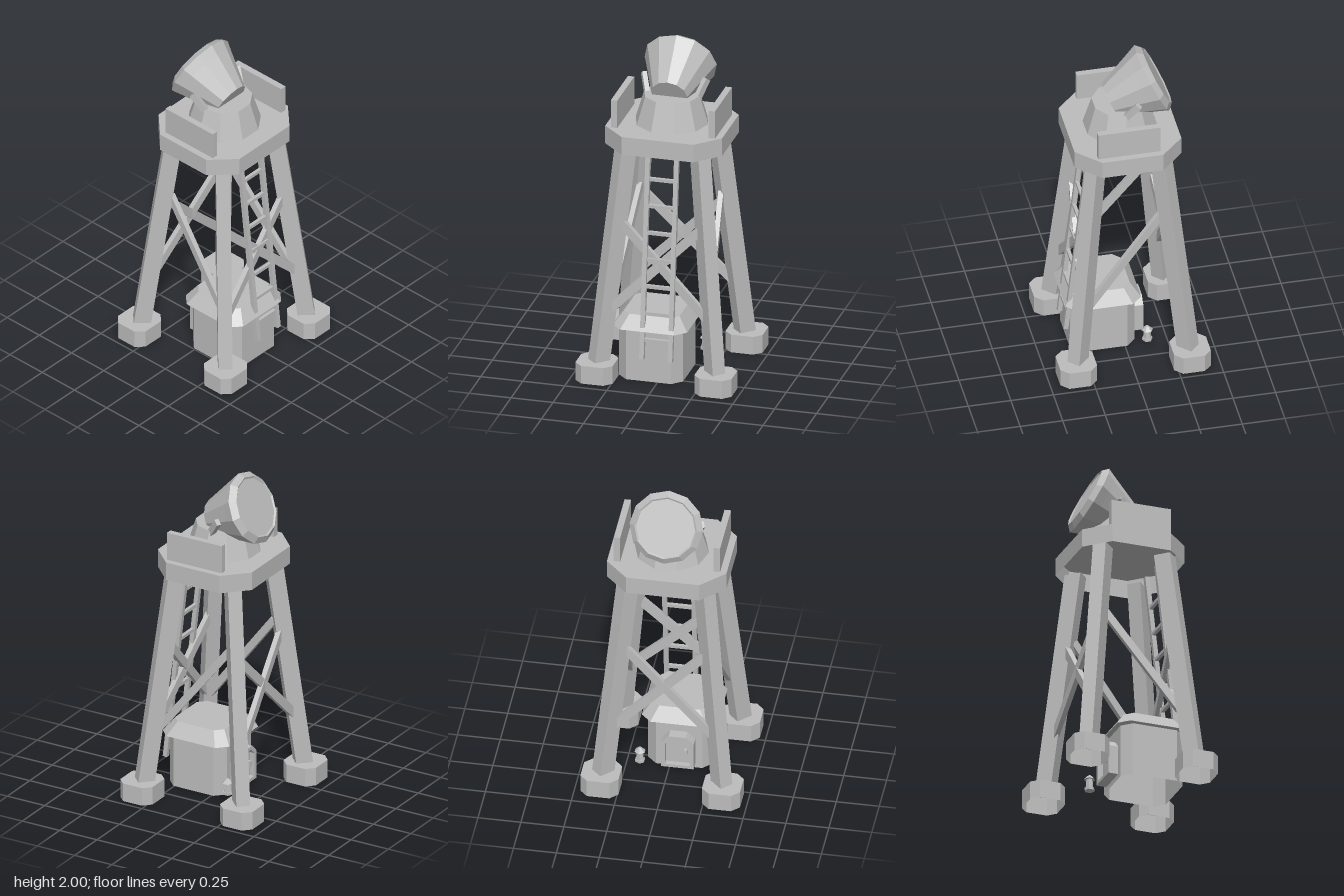
import * as THREE from 'three';

const metal = new THREE.MeshStandardMaterial({ color: 0xbcbcbc, flatShading: true, side: THREE.DoubleSide });
metal.name = 'plainGrey';

const v = (x, y, z) => new THREE.Vector3(x, y, z);

function add(parent, name, geometry, x = 0, y = 0, z = 0) {
  const mesh = new THREE.Mesh(geometry, metal);
  mesh.name = name;
  mesh.position.set(x, y, z);
  parent.add(mesh);
  return mesh;
}

// Rectangle with cut corners, lying flat at height y
function chamferRing(w, d, c, y) {
  return [[-w + c, d], [w - c, d], [w, d - c], [w, -d + c], [w - c, -d], [-w + c, -d], [-w, -d + c], [-w, d - c]]
    .map(([x, z]) => v(x, y, z));
}

// Skin between stacked rings, closed on top and open below
function loft(rings) {
  const pos = [];
  const tri = (...pts) => pts.forEach((p) => pos.push(p.x, p.y, p.z));
  const n = rings[0].length;
  for (let k = 0; k + 1 < rings.length; k++) {
    for (let i = 0; i < n; i++) {
      const j = (i + 1) % n;
      tri(rings[k][i], rings[k][j], rings[k + 1][j]);
      tri(rings[k][i], rings[k + 1][j], rings[k + 1][i]);
    }
  }
  const top = rings[rings.length - 1];
  for (let i = 1; i + 1 < n; i++) tri(top[0], top[i], top[i + 1]);
  const g = new THREE.BufferGeometry();
  g.setAttribute('position', new THREE.Float32BufferAttribute(pos, 3));
  g.computeVertexNormals();
  return g;
}

// Straight bar between two points
function beam(parent, name, a, b, width, height) {
  const mesh = add(parent, name, new THREE.BoxGeometry(width, height, a.distanceTo(b)));
  mesh.position.copy(a).add(b).multiplyScalar(0.5);
  mesh.lookAt(b);
  return mesh;
}

// Horizontal section of a leg, turned to face the tower's corner
function legRing(sx, sz, x, y, z) {
  const k = Math.SQRT1_2;
  const at = (r, t) => v(sx * x + k * (sx * r + sz * t), y, sz * z + k * (sz * r - sx * t));
  return [at(0.05, -0.041), at(0.05, 0.041), at(-0.05, 0.041), at(-0.05, -0.041)];
}

function buildFrame(root) {
  const frame = new THREE.Group();
  frame.name = 'towerFrame';
  root.add(frame);
  for (const sx of [-1, 1]) {
    for (const sz of [-1, 1]) {
      add(frame, 'footing', loft([chamferRing(0.111, 0.108, 0.045, 0), chamferRing(0.111, 0.108, 0.045, 0.11)]),
        sx * 0.354, 0, sz * 0.334);
      add(frame, 'leg', loft([legRing(sx, sz, 0.345, 0.1, 0.323), legRing(sx, sz, 0.22, 1.42, 0.19)]));
      // crossed braces on the front and back
      beam(frame, 'crossBrace', v(-sx * 0.29, 0.42, sz * 0.29), v(sx * 0.235, 0.945, sz * 0.235), 0.03, 0.052);
    }
    // single brace on each side
    beam(frame, 'sideBrace', v(sx * 0.29, 0.42, 0.265), v(sx * 0.24, 1.01, -0.195), 0.03, 0.045);
  }
  add(frame, 'platform', loft([chamferRing(0.348, 0.314, 0.135, 1.4), chamferRing(0.348, 0.314, 0.135, 1.51)]));
  for (const s of [-1, 1]) {
    add(frame, 'guardPanel', new THREE.BoxGeometry(0.038, 0.17, 0.366), s * 0.291, 1.595, 0.012);
  }
}

function buildLadder(root) {
  const ladder = new THREE.Group();
  ladder.name = 'ladder';
  root.add(ladder);
  const zAt = (y) => 0.338 - (y - 0.15) * 0.112;
  for (const s of [-1, 1]) {
    beam(ladder, 'rail', v(s * 0.085, 0.15, zAt(0.15)), v(s * 0.085, 1.42, zAt(1.42)), 0.027, 0.027);
  }
  for (let i = 0; i < 7; i++) {
    const y = 0.265 + i * 0.16;
    add(ladder, 'rung', new THREE.BoxGeometry(0.15, 0.02, 0.02), 0, y, zAt(y));
  }
}

// Arched outline for the door, drawn from the floor up
function archPoints(w, bottom, top, cut) {
  return [[-w, bottom], [w, bottom], [w, top - cut], [w - cut, top], [-w + cut, top], [-w, top - cut]]
    .map(([x, y]) => new THREE.Vector2(x, y));
}

function buildHut(root) {
  const hut = new THREE.Group();
  hut.name = 'hut';
  hut.position.set(-0.053, 0, 0.122);
  root.add(hut);
  add(hut, 'hutWalls', loft([chamferRing(0.19, 0.19, 0.055, 0), chamferRing(0.19, 0.19, 0.055, 0.33)]));
  add(hut, 'hutRoof', loft([
    chamferRing(0.19, 0.19, 0.055, 0.32),
    chamferRing(0.222, 0.222, 0.06, 0.32),
    chamferRing(0.165, 0.165, 0.045, 0.4),
  ]));

  // door on the back wall
  const frame = new THREE.Shape(archPoints(0.095, 0.03, 0.25, 0.045));
  frame.holes.push(new THREE.Path(archPoints(0.072, 0.05, 0.23, 0.036)));
  add(hut, 'doorFrame', new THREE.ExtrudeGeometry(frame, { depth: 0.06, bevelEnabled: false }), 0, 0, -0.25);
  const panel = new THREE.Shape(archPoints(0.073, 0.049, 0.231, 0.036));
  add(hut, 'doorPanel', new THREE.ExtrudeGeometry(panel, { depth: 0.03, bevelEnabled: false }), 0, 0, -0.22);
  add(hut, 'doorHandle', new THREE.BoxGeometry(0.018, 0.035, 0.025), -0.045, 0.135, -0.23);
}

function buildLantern(root) {
  const lantern = new THREE.Group();
  lantern.name = 'lantern';
  lantern.position.set(0.165, 0, -0.124);
  root.add(lantern);
  const parts = [['lanternBase', 0.03, 0.03, 0.015, 0.058], ['lanternBody', 0.019, 0.024, 0.06, 0.093],
    ['lanternCap', 0.008, 0.034, 0.026, 0.134]];
  for (const [name, top, bottom, h, y] of parts) {
    add(lantern, name, new THREE.CylinderGeometry(top, bottom, h, 6), 0, y, 0);
  }
}

function buildSearchlight(root) {
  const light = new THREE.Group();
  light.name = 'searchlight';
  root.add(light);
  add(light, 'pedestal', new THREE.CylinderGeometry(0.165, 0.216, 0.17, 10, 1, false, Math.PI / 10), 0, 1.595, 0);
  // housing tilted up and to the back, ending in a bevelled rim and flat lens
  const profile = [[0, 0], [0.107, 0], [0.192, 0.215], [0.215, 0.27], [0.182, 0.302], [0.172, 0.294], [0, 0.294]]
    .map(([r, s]) => new THREE.Vector2(r, s));
  const housing = add(light, 'lampHousing', new THREE.LatheGeometry(profile, 12), 0, 1.69, 0.056);
  housing.rotation.x = -1.125;
  for (const s of [-1, 1]) {
    beam(light, 'yokeArm', v(s * 0.145, 1.65, 0.005), v(s * 0.187, 1.76, -0.07), 0.028, 0.04);
  }
}

export function createModel() {
  const root = new THREE.Group();
  root.name = 'searchlightTower';
  buildFrame(root);
  buildLadder(root);
  buildHut(root);
  buildLantern(root);
  buildSearchlight(root);
  return root;
}
